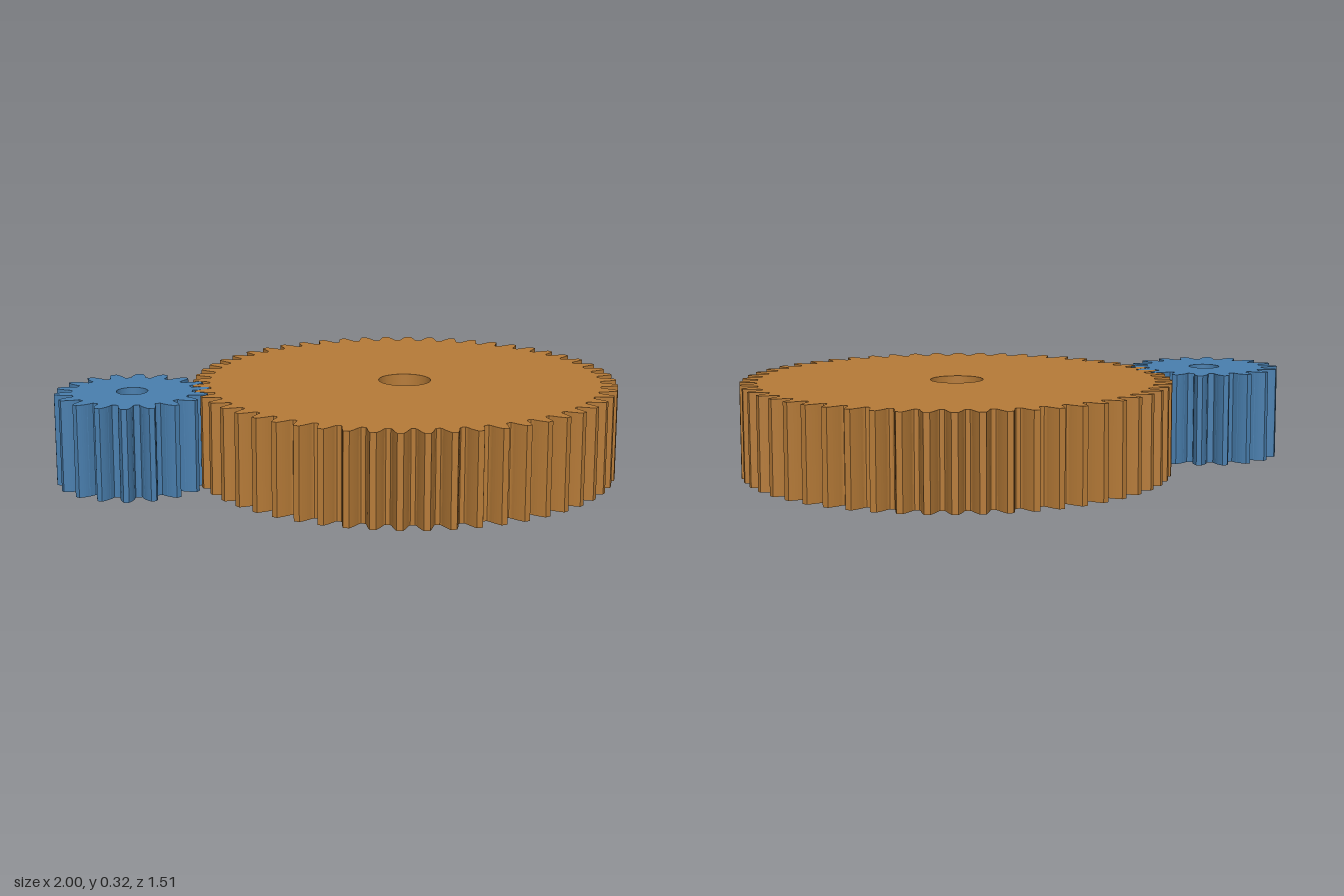
import * as THREE from 'three';

const MODULE = 2 / 74;                    // tooth module: both gears side by side span 2 units
const HEIGHT = 0.325;
const PRESSURE = THREE.MathUtils.degToRad(20);
const inv = (a) => Math.tan(a) - a;       // involute function

// Outline of a spur gear with involute teeth and a round bore
function gearShape(teeth, phase, bore) {
  const pitch = (MODULE * teeth) / 2;
  const base = pitch * Math.cos(PRESSURE);
  const tip = pitch + MODULE;
  const root = pitch - 1.25 * MODULE;
  const start = Math.max(base, root);
  const steps = 6;

  // one flank, from root to tip, as [radius, half angle]
  const flank = [];
  for (let i = 0; i <= steps; i++) {
    const r = start + ((tip - start) * i) / steps;
    const half = Math.PI / (2 * teeth) + inv(PRESSURE) - inv(Math.acos(Math.min(1, base / r)));
    flank.push([r, half]);
  }
  // rounded foot
  const foot = flank[0][1];
  const gap = Math.PI / teeth - foot;
  flank[0] = [start + 0.2 * MODULE, foot];
  flank.unshift([root + 0.05 * MODULE, foot + gap * 0.3]);

  const points = [];
  const add = (r, a) => points.push(new THREE.Vector2(r * Math.cos(a), r * Math.sin(a)));
  for (let t = 0; t < teeth; t++) {
    const mid = phase + (t * 2 * Math.PI) / teeth;
    for (const [r, half] of flank) add(r, mid - half);
    for (const [r, half] of [...flank].reverse()) add(r, mid + half);
    add(root, mid + Math.PI / teeth);
  }
  const shape = new THREE.Shape(points);
  shape.holes.push(new THREE.Path().absarc(0, 0, bore, 0, Math.PI * 2, true));
  return shape;
}

function makeGear(name, teeth, phase, bore, x, material) {
  const geometry = new THREE.ExtrudeGeometry(gearShape(teeth, phase, bore), {
    depth: HEIGHT, bevelEnabled: false, curveSegments: 48,
  });
  geometry.rotateX(-Math.PI / 2);         // lay flat, standing on y = 0
  const gear = new THREE.Mesh(geometry, material);
  gear.name = name;
  gear.position.x = x;
  return gear;
}

export function createModel() {
  const bronze = new THREE.MeshStandardMaterial({ color: 0xb87c38 });
  bronze.name = 'bronze';
  const blue = new THREE.MeshStandardMaterial({ color: 0x4a80b0 });
  blue.name = 'steel blue';

  const model = new THREE.Group();
  model.name = 'gearPair';
  // the wheel is turned half a tooth so the pinion's tooth sits in its gap
  model.add(
    makeGear('largeGear', 54, Math.PI / 54, 0.093, 1 - 28 * MODULE, bronze),
    makeGear('pinion', 18, 0, 0.055, -1 + 10 * MODULE, blue),
  );
  return model;
}
